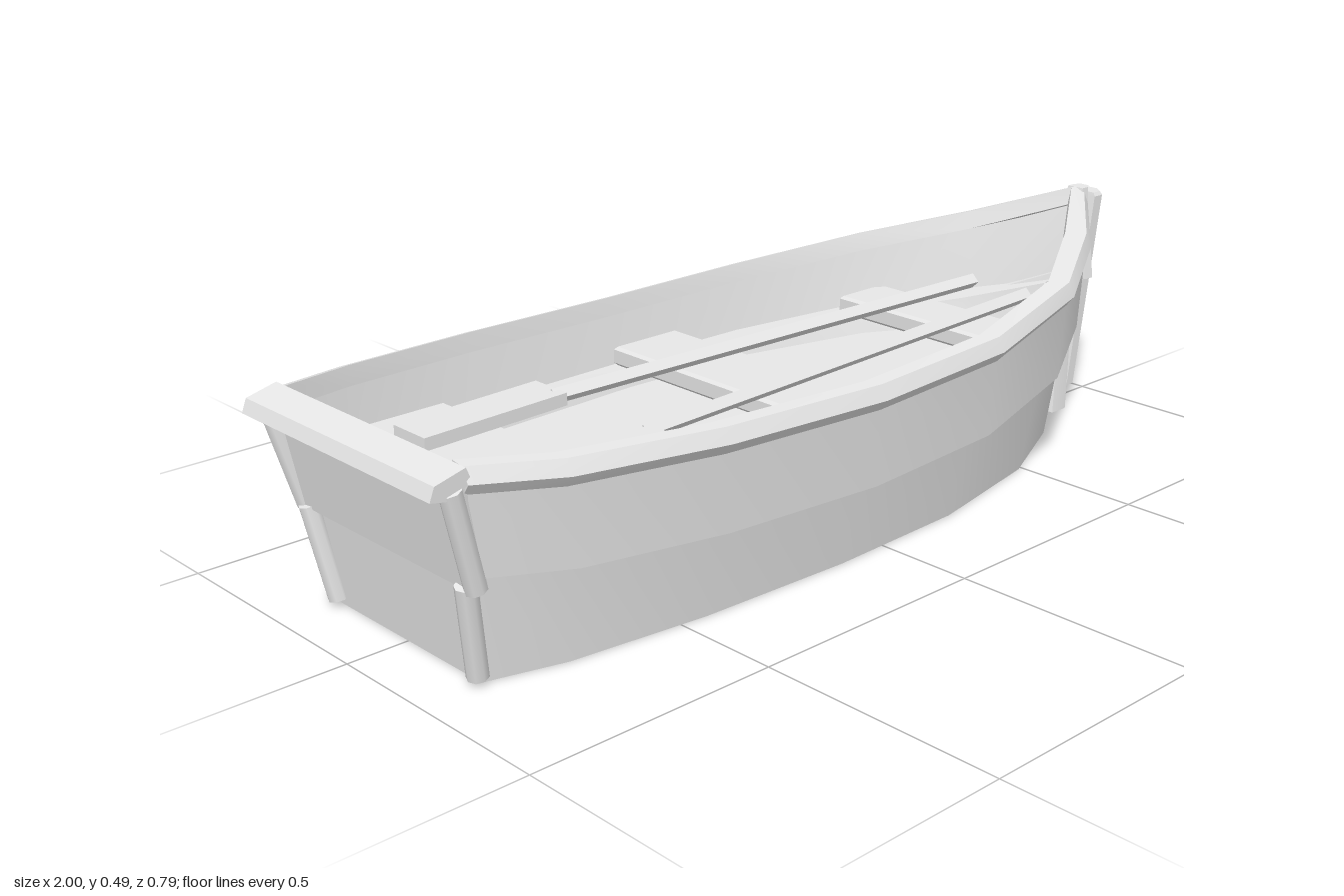
import * as THREE from 'three';
import { toCreasedNormals } from 'three/addons/utils/BufferGeometryUtils.js';

// Hull stations from stern to bow: position, half-width factor, sheer rise
const STATIONS = [
  [0, 0.71, 0.04], [0.085, 0.85, 0.025], [0.245, 0.96, 0.01], [0.436, 1, 0],
  [0.617, 0.96, 0.007], [0.782, 0.76, 0.033], [0.9, 0.43, 0.068], [1, 0.03, 0.113],
];

// Skin a row of cross-sections (arrays of [x, y, z]) into a closed solid
function loft(sections) {
  const tris = [];
  const n = sections[0].length;
  for (let i = 0; i < sections.length - 1; i++) {
    const a = sections[i], b = sections[i + 1];
    for (let j = 0; j < n; j++) {
      const k = (j + 1) % n;
      tris.push([a[j], b[j], b[k]], [a[j], b[k], a[k]]);
    }
  }
  const first = sections[0], last = sections[sections.length - 1];
  for (let j = 1; j < n - 1; j++) {
    tris.push([first[0], first[j], first[j + 1]], [last[0], last[j + 1], last[j]]);
  }
  // Turn the faces outward whichever way the sections run
  const v = (p) => new THREE.Vector3(...p);
  const volume = tris.reduce((s, [a, b, c]) => s + v(a).dot(v(b).cross(v(c))), 0);
  if (volume < 0) tris.forEach((t) => t.reverse());
  const geo = new THREE.BufferGeometry();
  geo.setAttribute('position', new THREE.Float32BufferAttribute(tris.flat(2), 3));
  return toCreasedNormals(geo, 0.45);
}

// One edge line of the hull: stern x, bow x, half-width, height, inset, lift
function edge(xs, xe, w, y, inset = 0, lift = 1) {
  return ([t, f, rise]) => [xs + (xe - xs) * t, y + rise * lift, Math.max(0, w * f - inset)];
}

export function createModel() {
  const boat = new THREE.Group();
  boat.name = 'rowingBoat';
  const wood = new THREE.MeshStandardMaterial({ color: 0xe7e7e7 });
  wood.name = 'pale grey';

  const add = (name, geo, parent = boat) => {
    const mesh = new THREE.Mesh(geo, wood);
    mesh.name = name;
    parent.add(mesh);
    return mesh;
  };

  // A strip running along one side of the hull (side is 1 or -1)
  const strip = (name, side, edges) => add(name, loft(STATIONS.map((s) => edges.map((e) => {
    const [x, y, z] = e(s);
    return [x, y, z * side];
  }))));

  // Top rails: the left one is tipped outward, the right one is upright
  strip('leftGunwale', 1, [
    edge(-0.93, 0.955, 0.395, 0.326, 0.014), edge(-0.93, 0.965, 0.395, 0.346),
    edge(-0.93, 0.965, 0.395, 0.374, 0.014), edge(-0.93, 0.92, 0.395, 0.378, 0.04),
    edge(-0.93, 0.91, 0.395, 0.345, 0.04),
  ]);
  strip('rightGunwale', -1, [
    edge(-0.93, 0.962, 0.395, 0.328), edge(-0.93, 0.965, 0.395, 0.364),
    edge(-0.93, 0.92, 0.395, 0.378, 0.04), edge(-0.93, 0.91, 0.395, 0.34, 0.045),
  ]);

  // Planking and inner ledges, mirrored on both sides
  const strips = {
    UpperPlank: [
      edge(-0.93, 0.955, 0.38, 0.35), edge(-0.895, 0.94, 0.365, 0.17),
      edge(-0.895, 0.91, 0.365, 0.17, 0.035), edge(-0.93, 0.935, 0.38, 0.35, 0.02),
    ],
    LowerPlank: [
      edge(-0.9, 0.925, 0.33, 0.19), edge(-0.875, 0.87, 0.298, 0, 0, 0),
      edge(-0.875, 0.84, 0.298, 0, 0.03, 0), edge(-0.9, 0.89, 0.33, 0.19, 0.03),
    ],
    InnerLedge: [
      edge(-0.89, 0.88, 0.34, 0.24, 0, 0.4), edge(-0.89, 0.84, 0.34, 0.24, 0.055, 0.4),
      edge(-0.89, 0.825, 0.34, 0.2, 0.068, 0), edge(-0.89, 0.86, 0.34, 0.2, 0.01, 0),
    ],
  };
  for (const [name, edges] of Object.entries(strips)) {
    strip('left' + name, 1, edges);
    strip('right' + name, -1, edges);
  }

  // Flat bottom and raised floor
  const deck = (name, top, bottom) => add(name, loft(STATIONS.map((s) => {
    const [a, b] = [top(s), bottom(s)];
    return [a, [a[0], a[1], -a[2]], [b[0], b[1], -b[2]], b];
  })));
  deck('bottom', edge(-0.875, 0.87, 0.296, 0.02, 0, 0), edge(-0.875, 0.87, 0.296, 0, 0, 0));
  deck('floor', edge(-0.89, 0.88, 0.325, 0.21, 0, 0), edge(-0.89, 0.88, 0.32, 0.19, 0, 0));

  // Leaning posts at the bow: [y, back x, front x, half-width, front half-width]
  const post = (name, levels) => add(name, loft(levels.map(([y, x0, x1, w, f]) => [
    [x0, y, w], [x0 + (x1 - x0) * 0.6, y, w], [x1, y, f],
    [x1, y, -f], [x0 + (x1 - x0) * 0.6, y, -w], [x0, y, -w],
  ])));
  post('stemPost', [[0.04, 0.89, 0.927, 0.037, 0.016], [0.47, 0.955, 1, 0.039, 0.016],
    [0.478, 0.957, 0.995, 0.034, 0.014]]);
  post('lowerStem', [[0, 0.81, 0.885, 0.062, 0.026], [0.28, 0.87, 0.92, 0.025, 0.02]]);
  post('upperStem', [[0.29, 0.915, 0.955, 0.056, 0.03], [0.42, 0.935, 0.965, 0.03, 0.02]]);
  post('bowCap', [[0.45, 0.925, 0.965, 0.026, 0.012], [0.489, 0.935, 0.968, 0.02, 0.01]]);

  // Transom in two overlapping panels: [y, back x, half-width]
  const panel = (name, levels) => add(name, loft(levels.map(([y, x, w]) => [
    [x, y, w], [x + 0.035, y, w], [x + 0.035, y, -w], [x, y, -w],
  ])));
  panel('upperTransom', [[0.19, -0.917, 0.25], [0.395, -0.953, 0.272]]);
  panel('lowerTransom', [[0, -0.877, 0.21], [0.21, -0.902, 0.236]]);

  // Rounded battens on the transom corners
  const rod = (name, a, b, r) => {
    const from = new THREE.Vector3(...a), dir = new THREE.Vector3(...b).sub(from);
    const mesh = add(name, new THREE.CylinderGeometry(r, r, dir.length(), 8));
    mesh.position.copy(from).addScaledVector(dir, 0.5);
    mesh.quaternion.setFromUnitVectors(new THREE.Vector3(0, 1, 0), dir.normalize());
  };
  for (const s of [1, -1]) {
    rod('upperCornerBatten', [-0.905, 0.19, s * 0.25], [-0.955, 0.38, s * 0.266], 0.02);
    rod('lowerCornerBatten', [-0.882, 0.012, s * 0.208], [-0.912, 0.195, s * 0.232], 0.02);
  }

  // Chamfered rail across the stern
  const rail = [[-1, 0.375], [-0.99, 0.4], [-0.93, 0.415], [-0.92, 0.39], [-0.96, 0.367]];
  add('sternRail', loft([-0.277, 0.277].map((z) => rail.map(([x, y]) => [x, y, z]))));

  // Seats with bevelled edges: [name, x, width, length, top height]
  for (const [name, x, w, d, y] of [
    ['sternSeat', -0.685, 0.2, 0.565, 0.29],
    ['middleSeat', -0.053, 0.165, 0.66, 0.282],
    ['bowSeat', 0.505, 0.13, 0.5, 0.285],
  ]) {
    add(name, loft([[0.04, 0.006], [0.034, 0], [0.006, 0], [0, 0.006]].map(([drop, inset]) => {
      const [a, b] = [w / 2 - inset, d / 2 - inset];
      return [[x - a, y - drop, -b], [x + a, y - drop, -b], [x + a, y - drop, b], [x - a, y - drop, b]];
    })));
  }

  // Oars resting on the seats, blades toward the stern
  for (const s of [1, -1]) {
    const oar = new THREE.Group();
    oar.name = s > 0 ? 'leftOar' : 'rightOar';
    boat.add(oar);
    add('oarBlade', loft([[-0.76, 0.137], [-0.435, 0.15]].map(([x, z]) => [
      [x, 0.291, s * z - 0.047], [x, 0.316, s * z - 0.047],
      [x, 0.316, s * z + 0.047], [x, 0.291, s * z + 0.047],
    ])), oar);
    // Square shaft standing on its corner
    add('oarShaft', loft([[-0.45, 0.13, 0.304], [0.68, 0.075, 0.308]].map(([x, z, y]) => [
      [x, y - 0.016, s * z], [x, y, s * z - 0.016], [x, y + 0.016, s * z], [x, y, s * z + 0.016],
    ])), oar);
  }
  return boat;
}
